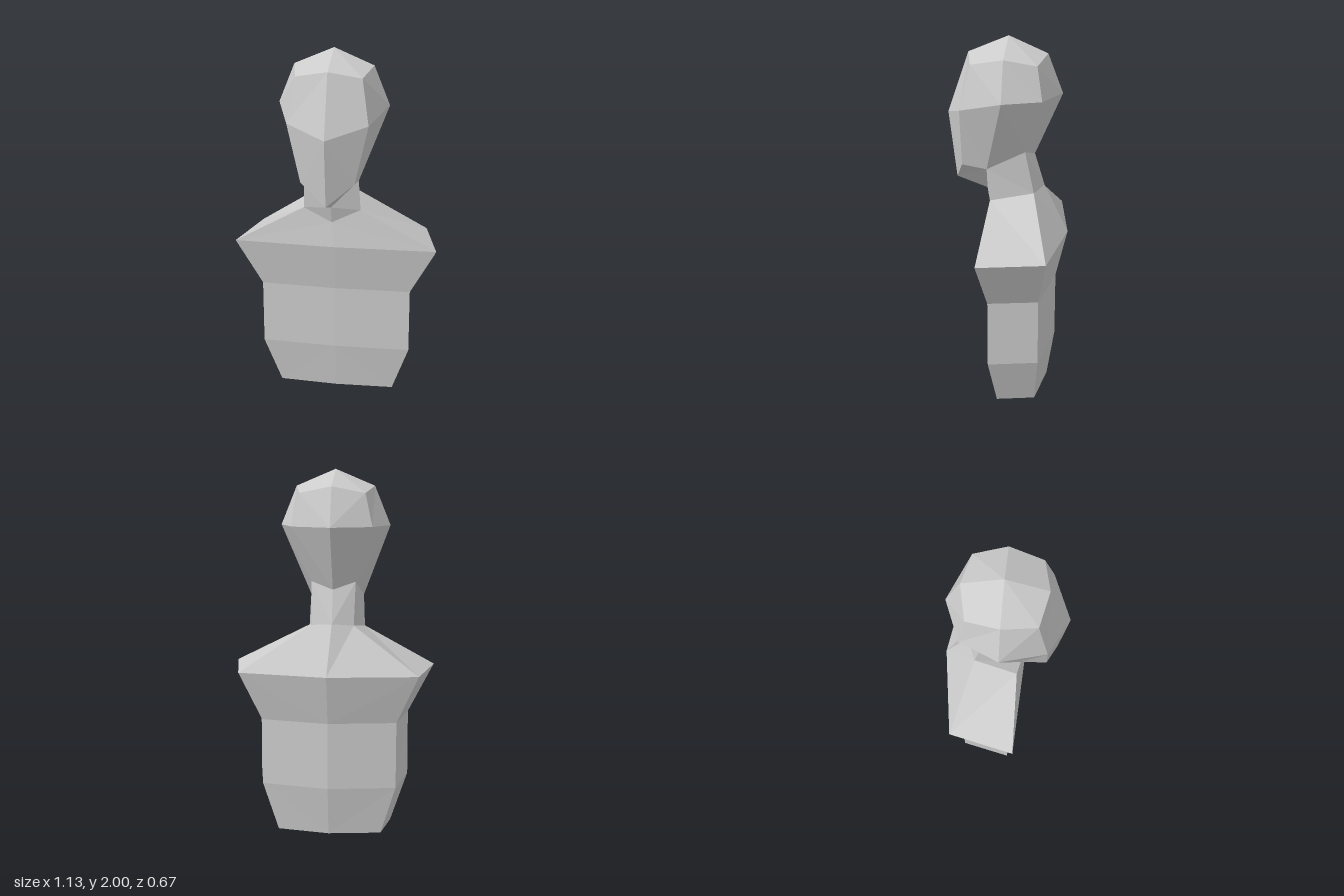
import * as THREE from 'three';

const HEAD_X = -0.015; // the head sits slightly off the torso's centre line

// A row holds half a horizontal ring, from front centre round the left side to back centre.
const row = (centre, ...points) => ({ centre, points });

// Joins rows from top to bottom into a faceted skin, mirrored about each row's centre.
function skin(name, rows, material) {
  const positions = [];
  const tri = (a, b, c) => {
    const area = new THREE.Vector3().crossVectors(b.clone().sub(a), c.clone().sub(a)).length();
    if (area > 1e-7) for (const p of [a, b, c]) positions.push(p.x, p.y, p.z);
  };
  for (const side of [1, -1]) {
    const at = (i, j) => {
      const [x, y, z] = rows[i].points[j];
      return new THREE.Vector3(rows[i].centre + side * x, y, z);
    };
    for (let i = 0; i < rows.length - 1; i++) {
      for (let j = 0; j < rows[i].points.length - 1; j++) {
        const a = at(i, j), b = at(i, j + 1), c = at(i + 1, j + 1), d = at(i + 1, j);
        if (side > 0) { tri(a, d, c); tri(a, c, b); }
        else { tri(a, c, d); tri(a, b, c); }
      }
    }
  }
  const geometry = new THREE.BufferGeometry();
  geometry.setAttribute('position', new THREE.Float32BufferAttribute(positions, 3));
  geometry.computeVertexNormals();
  const mesh = new THREE.Mesh(geometry, material);
  mesh.name = name;
  return mesh;
}

export function createModel() {
  const group = new THREE.Group();
  group.name = 'bust';
  const material = new THREE.MeshStandardMaterial({ color: 0xcccccc, flatShading: true });

  // Shared corners where the neck meets the head
  const throat = [0, 1.15, 0.12];
  const jawHinge = [0.15, 1.305, 0.1];
  const skullBase = [0.12, 1.4, -0.105];
  const nape = [0, 1.36, -0.145];

  // Head: crown, upper skull, brow, jaw line, underside of the jaw
  const crown = [0, 2, 0];
  group.add(skin('head', [
    row(HEAD_X, crown, crown, crown, crown, crown),
    row(HEAD_X, [0, 1.91, 0.217], [0.175, 1.875, 0.178], [0.214, 1.91, 0], [0.175, 1.875, -0.172], [0, 1.91, -0.21]),
    row(HEAD_X, [0, 1.58, 0.333], [0.215, 1.64, 0.232], [0.3, 1.7, 0], [0.215, 1.7, -0.203], [0, 1.7, -0.292]),
    row(HEAD_X, [0, 1.21, 0.29], [0.145, 1.325, 0.235], jawHinge, skullBase, nape),
    row(HEAD_X, throat, jawHinge, jawHinge, skullBase, nape),
  ], material));

  // Neck
  const neckBase = row(HEAD_X, [0, 1.055, 0.095], [0.158, 1.13, 0.082], [0.115, 1.167, -0.153], [0, 1.18, -0.2]);
  group.add(skin('neck', [row(HEAD_X, throat, jawHinge, skullBase, nape), neckBase], material));

  // Torso: front centre, front corner, back corner, back centre at each level
  const level = (y, frontZ, frontX, cornerZ, backX, backCornerZ, backZ) =>
    row(0, [0, y, frontZ], [frontX, y, cornerZ], [backX, y, backCornerZ], [0, y, backZ]);
  group.add(skin('torso', [
    neckBase,
    level(0.915, 0.115, 0.565, 0.096, 0.488, -0.262, -0.335),
    level(0.645, 0.07, 0.424, 0.055, 0.37, -0.213, -0.272),
    level(0.275, 0.07, 0.426, 0.055, 0.37, -0.213, -0.272),
    level(0, 0.035, 0.332, 0.02, 0.288, -0.188, -0.23),
    level(0, -0.1, 0, -0.1, 0, -0.1, -0.1), // closes the bottom
  ], material));

  return group;
}
